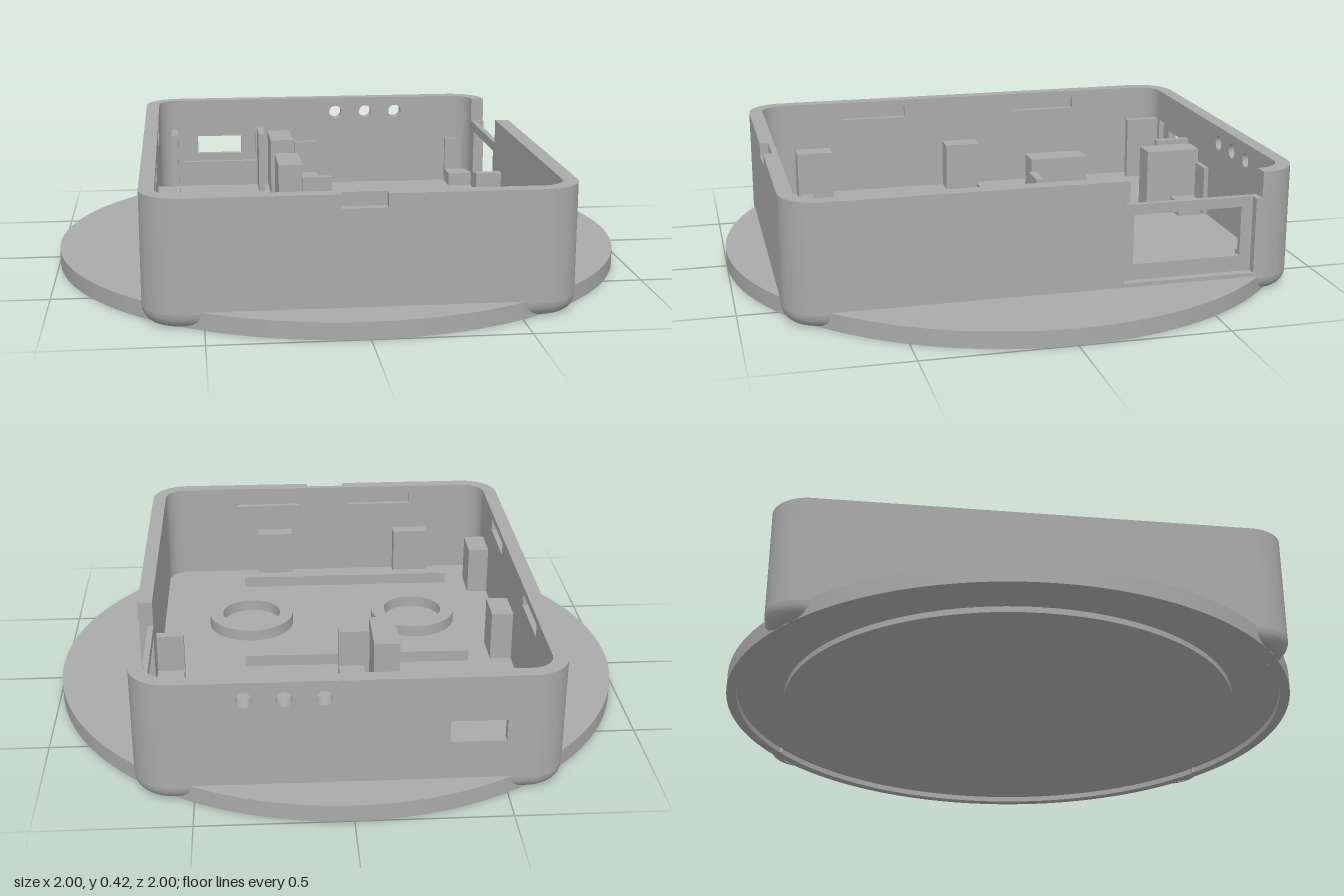
import * as THREE from 'three';
import { toCreasedNormals } from 'three/addons/utils/BufferGeometryUtils.js';

const TOP = 0.42, BASE = 0.05, FLOOR = 0.058;   // heights of rim, wall foot, floor
const CX = 0.565, CZ = 0.73;                    // corner arc centres
const R_OUT = 0.13, R_IN = 0.08;                // corner radii

export function createModel() {
  const model = new THREE.Group();
  const grey = new THREE.MeshStandardMaterial({ color: 0xaaaaaa });
  grey.name = 'greyPlastic';

  const add = (name, geometry, parent = model) => {
    const mesh = new THREE.Mesh(geometry, grey);
    mesh.name = name;
    parent.add(mesh);
    return mesh;
  };
  const v2 = pts => pts.map(([x, y]) => new THREE.Vector2(x, y));
  const lathe = (pts, segs, ...arc) =>
    toCreasedNormals(new THREE.LatheGeometry(v2(pts), segs, ...arc), 0.6);
  // box given by its extents in plan, standing on the floor
  const block = (name, x0, x1, z0, z1, top) => {
    const h = top - BASE;
    add(name, new THREE.BoxGeometry(x1 - x0, h, z1 - z0))
      .position.set((x0 + x1) / 2, BASE + h / 2, (z0 + z1) / 2);
  };

  // round foot plate with a ring groove underneath
  add('footPlate', lathe([[0, 0], [0.8, 0], [0.8, 0.02], [0.965, 0.02], [0.965, 0],
    [1, 0], [1, 0.057], [0, 0.057]], 128));

  // tray floor
  add('trayFloor', new THREE.BoxGeometry(1.3, FLOOR - BASE, 1.63))
    .position.y = (FLOOR + BASE) / 2;

  // walls: an inner and an outer layer, each with its own openings
  const layer = (half, z0, depth, notches, holes) => {
    const shape = new THREE.Shape(v2([[-half, BASE], [half, BASE], [half, TOP],
      ...notches.flat(), [-half, TOP]]));
    for (const h of holes) {
      const path = new THREE.Path();
      if (h.length === 3) {
        path.absarc(h[0], h[1], h[2], 0, Math.PI * 2, true);
      } else {
        const [a, b, c, d] = h;
        path.setFromPoints(v2([[a, c], [a, d], [b, d], [b, c], [a, c]]));
      }
      shape.holes.push(path);
    }
    const g = new THREE.ExtrudeGeometry(shape, { depth, bevelEnabled: false, curveSegments: 16 });
    return g.translate(0, 0, z0);
  };
  const wall = (name, half, turn, x, z, inner, outer) => {
    const group = new THREE.Group();
    group.name = name;
    group.rotation.y = turn;
    group.position.set(x, 0, z);
    add(name + 'Inner', layer(half, 0, 0.02, inner.notches || [], inner.holes || []), group);
    add(name + 'Outer', layer(half, 0.02, 0.03, outer.notches || [], outer.holes || []), group);
    model.add(group);
  };

  // front: latch pockets inside, small notch outside
  wall('frontWall', CX, 0, 0, 0.81,
    { holes: [[0.105, 0.36, 0.345, 0.39], [-0.35, -0.1, 0.345, 0.39]] },
    { notches: [[[0.07, TOP], [0.07, 0.375], [-0.075, 0.375], [-0.075, TOP]]] });

  // back: three round holes and a socket opening with a wider pocket inside
  const vents = [-0.085, -0.21, -0.335].map(u => [u, 0.36, 0.026]);
  wall('backWall', CX, Math.PI, 0, -0.81,
    { holes: [...vents, [0.25, 0.55, 0.16, 0.3]] },
    { holes: [...vents, [0.31, 0.49, 0.19, 0.265]] });

  // left: latch pockets inside
  wall('leftWall', CZ, -Math.PI / 2, -0.645, 0,
    { holes: [[-0.46, -0.21, 0.35, 0.395], [0.24, 0.49, 0.35, 0.395]] }, {});

  // right: lowered rim, framed window and recess around it
  wall('rightWall', CZ, Math.PI / 2, 0.645, 0,
    { notches: [[[0.72, TOP], [0.72, 0.33], [0.26, 0.33], [0.26, TOP]]],
      holes: [[0.285, 0.66, 0.125, 0.295]] },
    { notches: [[[0.72, TOP], [0.72, 0.33], [0.7, 0.33], [0.7, 0.07], [0.245, 0.07],
      [0.245, 0.35], [0.26, 0.35], [0.26, TOP]]] });

  // rounded corners with a filleted foot
  const fillet = [];
  for (let i = 0; i <= 6; i++) {
    const a = (i / 6) * Math.PI / 2;
    fillet.push([R_IN + 0.05 * Math.sin(a), BASE * (1 - Math.cos(a))]);
  }
  const ring = new THREE.Shape();
  ring.absarc(0, 0, R_OUT, 0, Math.PI / 2, false);
  ring.absarc(0, 0, R_IN, Math.PI / 2, 0, true);
  const post = toCreasedNormals(new THREE.ExtrudeGeometry(ring,
    { depth: TOP - BASE, bevelEnabled: false, curveSegments: 12 })
    .rotateX(-Math.PI / 2).translate(0, BASE, 0), 0.6);
  const strip = depth => toCreasedNormals(new THREE.ExtrudeGeometry(
    new THREE.Shape(v2([...fillet, [R_IN, BASE]])), { depth, bevelEnabled: false }), 0.6);
  [[1, -1], [-1, -1], [-1, 1], [1, 1]].forEach(([sx, sz], k) => {
    const corner = new THREE.Group();
    corner.name = 'corner' + (k + 1);
    corner.position.set(sx * CX, 0, sz * CZ);
    corner.rotation.y = k * Math.PI / 2;
    const [la, lb] = k % 2 ? [0.055, 0.015] : [0.015, 0.055];
    add('cornerWall', post, corner);
    add('cornerFoot', lathe(fillet, 12, Math.PI / 2, Math.PI / 2), corner);
    add('footRunA', strip(la), corner);
    add('footRunB', strip(lb).translate(0, 0, -lb).rotateY(Math.PI / 2), corner);
    model.add(corner);
  });

  // ring bosses and long ribs on the floor
  for (const x of [-0.315, 0.31]) {
    add('ringBoss', lathe([[0.11, BASE], [0.16, BASE], [0.16, 0.1], [0.11, 0.1], [0.11, BASE]], 48))
      .position.set(x, 0, 0.31);
  }
  block('rearRib', -0.485, 0.335, -0.06, -0.02, 0.1);
  block('frontRib', -0.485, 0.335, 0.64, 0.685, 0.1);

  // tall blocks and socket guides
  block('tallBlock', -0.2, -0.11, -0.81, -0.605, 0.287);
  block('tallBlock', -0.2, -0.11, -0.36, -0.145, 0.287);
  block('socketGuide', -0.6, -0.573, -0.815, -0.68, 0.3);
  block('socketGuide', -0.245, -0.22, -0.815, -0.68, 0.3);

  // board seats with thin upright stops
  for (const [x0, x1] of [[-0.09, 0], [0.55, 0.648]]) {
    block('boardSeat', x0, x1, -0.785, -0.695, 0.11);
    block('boardSeat', x0, x1, -0.26, -0.175, 0.11);
    block('boardStop', x0, x1, -0.815, -0.793, 0.24);
    block('boardStop', x0 < 0 ? -0.11 : x0, x1, -0.165, -0.135, 0.24);
  }

  // supports against the left and front walls
  block('leftSupport', -0.65, -0.567, -0.05, 0.087, 0.24);
  block('leftSupport', -0.65, -0.567, 0.545, 0.683, 0.24);
  block('frontSupport', -0.42, -0.283, 0.755, 0.815, 0.24);
  block('frontSupport', 0.138, 0.275, 0.755, 0.815, 0.24);

  return model;
}
